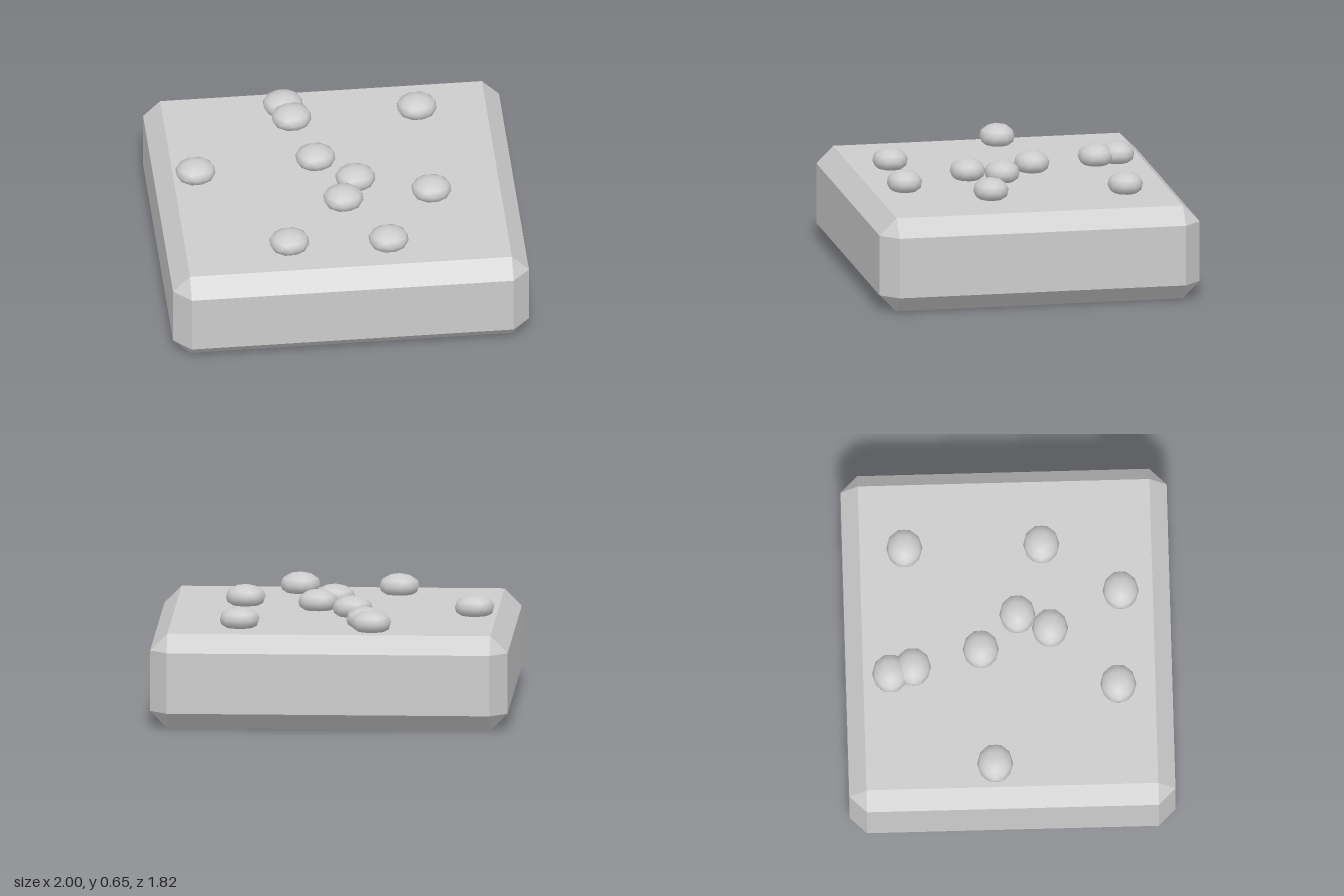
import * as THREE from 'three';
import { ConvexGeometry } from 'three/addons/geometries/ConvexGeometry.js';

// Box with every edge cut by a flat chamfer
function chamferedBox(hx, hy, hz, c) {
  const points = [];
  for (const sx of [-1, 1]) for (const sy of [-1, 1]) for (const sz of [-1, 1]) {
    points.push(
      new THREE.Vector3(sx * hx, sy * (hy - c), sz * (hz - c)),
      new THREE.Vector3(sx * (hx - c), sy * hy, sz * (hz - c)),
      new THREE.Vector3(sx * (hx - c), sy * (hy - c), sz * hz)
    );
  }
  return new ConvexGeometry(points);
}

export function createModel() {
  const model = new THREE.Group();
  model.name = 'studdedBlock';
  const stone = new THREE.MeshStandardMaterial({ color: 0xcccccc });
  stone.name = 'stone grey';

  // Slab
  const slab = new THREE.Mesh(chamferedBox(1, 0.267, 0.912, 0.096), stone);
  slab.name = 'slab';
  slab.position.y = 0.267;
  model.add(slab);

  // Flattened pebbles, half sunk into the top, with a vertex at the pole
  const pebbleGeometry = new THREE.IcosahedronGeometry(1, 1);
  pebbleGeometry.rotateZ(Math.atan(2 / (1 + Math.sqrt(5))));
  pebbleGeometry.scale(0.115, 0.07, 0.101);

  const spots = [
    [-0.23, -0.665], [-0.195, -0.537], [0.512, -0.566], [-0.78, -0.093], [-0.1, -0.155],
    [0.103, 0.055], [0.017, 0.235], [0.515, 0.2], [-0.325, 0.608], [0.23, 0.636]
  ];
  const pebbles = new THREE.Group();
  pebbles.name = 'pebbles';
  spots.forEach(([x, z], i) => {
    const pebble = new THREE.Mesh(pebbleGeometry, stone);
    pebble.name = `pebble${i + 1}`;
    pebble.position.set(x, 0.58, z);
    pebbles.add(pebble);
  });
  model.add(pebbles);

  return model;
}
